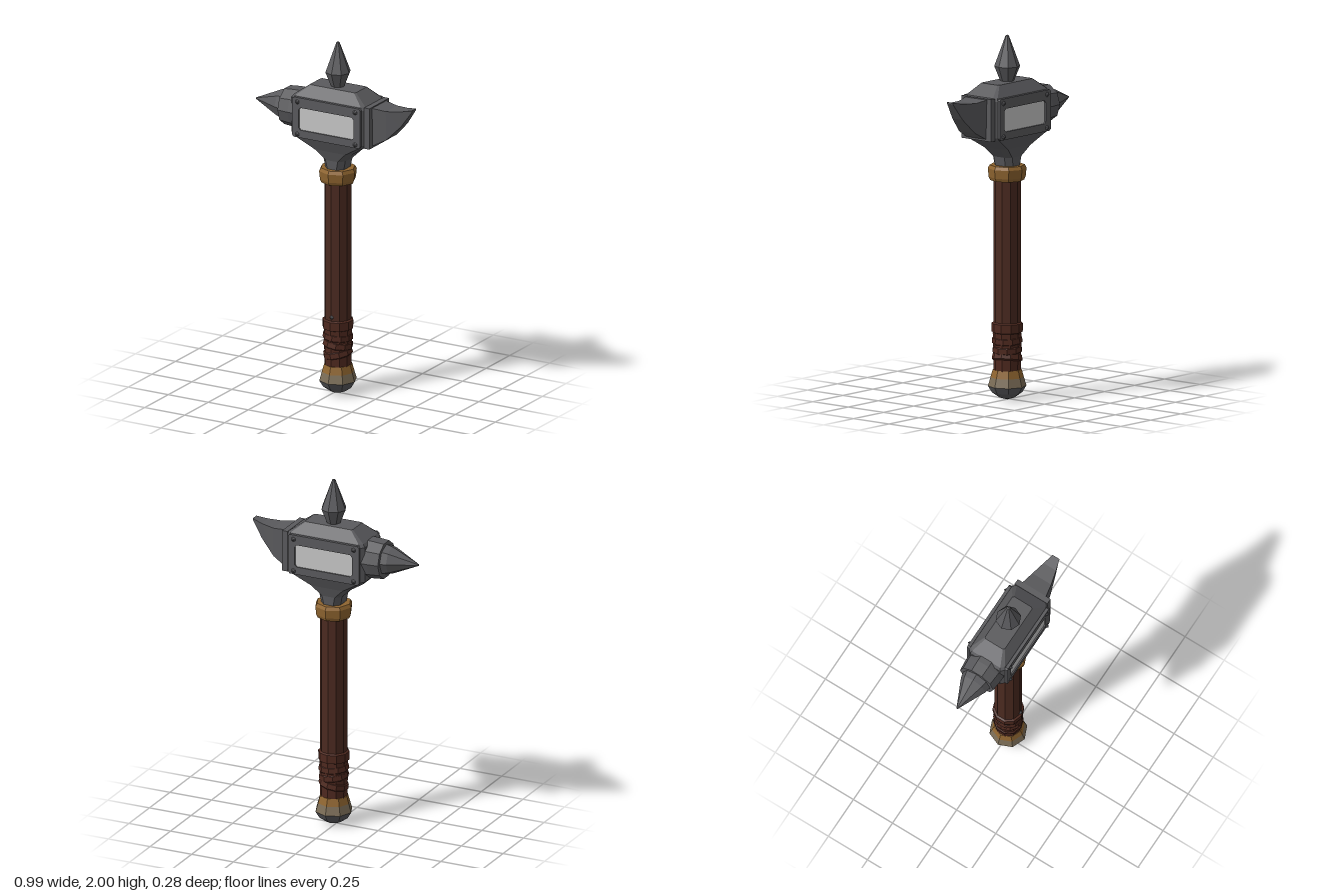
import * as THREE from 'three';

const mat = (name, color, side = THREE.FrontSide) => {
  const m = new THREE.MeshStandardMaterial({ color, flatShading: true, side });
  m.name = name;
  return m;
};

// Closed, flat-shaded skin through a list of equal-length rings of [x, y, z]
function loft(rings) {
  const n = rings[0].length, pos = [];
  const tri = (a, b, c) => pos.push(...a, ...b, ...c);
  for (let r = 0; r < rings.length - 1; r++) {
    const a = rings[r], b = rings[r + 1];
    for (let i = 0; i < n; i++) {
      const j = (i + 1) % n;
      tri(a[i], a[j], b[j]);
      tri(a[i], b[j], b[i]);
    }
  }
  const first = rings[0], last = rings[rings.length - 1];
  for (let i = 1; i < n - 1; i++) {
    tri(first[0], first[i + 1], first[i]);
    tri(last[0], last[i], last[i + 1]);
  }
  const g = new THREE.BufferGeometry();
  g.setAttribute('position', new THREE.Float32BufferAttribute(pos, 3));
  g.computeVertexNormals();
  return g;
}

// Rectangle with cut corners in the xz plane at height y
const cutRect = (y, x0, x1, z, c) => [
  [x0 + c, y, z], [x1 - c, y, z], [x1, y, z - c], [x1, y, c - z],
  [x1 - c, y, -z], [x0 + c, y, -z], [x0, y, c - z], [x0, y, z - c],
];

const lathe = (pts, sides) =>
  new THREE.LatheGeometry(pts.map(([r, y]) => new THREE.Vector2(r, y)), sides);

function roundRect(target, x0, y0, x1, y1, c) {
  target.moveTo(x0 + c, y0);
  target.lineTo(x1 - c, y0); target.lineTo(x1, y0 + c);
  target.lineTo(x1, y1 - c); target.lineTo(x1 - c, y1);
  target.lineTo(x0 + c, y1); target.lineTo(x0, y1 - c);
  target.lineTo(x0, y0 + c); target.closePath();
  return target;
}

export function createModel() {
  const steel = mat('dark steel', 0x5a5a5d);
  const silver = mat('pale silver', 0xc6c6c6);
  const wood = mat('dark wood', 0x4b2a20);
  const leather = mat('leather', 0x4f291f);
  const brass = mat('brass', 0x8f6530);
  const worn = mat('worn brass', 0x7a6c56);

  const model = new THREE.Group();
  model.name = 'warHammer';
  const AX = 0.016; // handle axis
  const add = (name, geo, material, x = 0, y = 0, z = 0, parent = model) => {
    const m = new THREE.Mesh(geo, material);
    m.name = name;
    m.position.set(x, y, z);
    parent.add(m);
    return m;
  };

  // Handle and pommel
  add('handle', lathe([[0.07, 0.15], [0.074, 0.4], [0.074, 1.22]], 10), wood, AX);
  add('pommel', lathe([[0.001, 0.005], [0.045, 0.018], [0.083, 0.045], [0.104, 0.08]], 8), steel, AX);
  add('pommelWornBand', lathe([[0.104, 0.08], [0.09, 0.128]], 8), worn, AX);
  add('pommelCup', lathe([[0.09, 0.128], [0.078, 0.17], [0.06, 0.172]], 8), brass, AX);

  // Leather grip: a cuff and loose tilted straps
  add('gripCuff', lathe([[0.07, 0.37], [0.084, 0.376], [0.085, 0.424], [0.07, 0.432]], 10), leather, AX);
  add('gripBase', lathe([[0.074, 0.165], [0.078, 0.37]], 10), leather, AX);
  const strap = lathe([[0.07, -0.022], [0.083, -0.012], [0.08, 0.016], [0.07, 0.022]], 10);
  [[0.235, 0.2, 0.1], [0.285, -0.22, 0.12], [0.33, 0.15, -0.15]].forEach(([y, tiltZ, tiltX], i) => {
    add('gripStrap' + i, strap, leather, AX, y, 0).rotation.set(tiltX, i, tiltZ);
  });
  add('gripStud', new THREE.OctahedronGeometry(0.014), steel, AX + 0.004, 0.452, 0.074);

  // Collar under the head
  add('headCollar', lathe([[0.07, 1.205], [0.092, 1.207], [0.1, 1.225], [0.105, 1.272],
    [0.095, 1.29], [0.06, 1.29]], 8), brass, AX);

  // Head block with flared neck and bevelled top
  const head = new THREE.Group();
  head.name = 'head';
  model.add(head);
  add('headBlock', loft([
    cutRect(1.28, -0.04, 0.072, 0.065, 0.03),
    cutRect(1.34, -0.052, 0.084, 0.068, 0.03),
    cutRect(1.395, -0.108, 0.14, 0.085, 0.03),
    cutRect(1.46, -0.205, 0.24, 0.113, 0.022),
    cutRect(1.475, -0.217, 0.25, 0.115, 0.02),
    cutRect(1.675, -0.217, 0.25, 0.115, 0.02),
    cutRect(1.692, -0.205, 0.24, 0.108, 0.018),
    cutRect(1.75, -0.125, 0.162, 0.063, 0.008),
  ]), steel, 0, 0, 0, head);

  // Framed side panels with corner rivets, front and back
  const frame = roundRect(new THREE.Shape(), -0.195, 1.462, 0.23, 1.688, 0.01);
  frame.holes.push(roundRect(new THREE.Path(), -0.155, 1.505, 0.188, 1.632, 0.012));
  const frameGeo = new THREE.ExtrudeGeometry(frame, { depth: 0.017, bevelEnabled: false });
  const panelGeo = new THREE.ShapeGeometry(roundRect(new THREE.Shape(), -0.156, 1.504, 0.189, 1.633, 0.012));
  const rivetGeo = new THREE.ConeGeometry(0.016, 0.016, 6).rotateX(Math.PI / 2);
  for (const s of [1, -1]) {
    const side = new THREE.Group();
    side.name = s > 0 ? 'frontPanel' : 'backPanel';
    // turn about the head's own middle so the back matches the front
    side.position.x = s > 0 ? 0 : 0.033;
    side.rotation.y = s > 0 ? 0 : Math.PI;
    head.add(side);
    add('panelFrame', frameGeo, steel, 0, 0, 0.111, side);
    add('panelInlay', panelGeo, silver, 0, 0, 0.12, side);
    for (const x of [-0.163, 0.198])
      for (const y of [1.48, 1.663]) add('rivet', rivetGeo, steel, x, y, 0.134, side);
  }

  // Beak plate and curved beak on the left
  add('beakPlate', new THREE.BoxGeometry(0.032, 0.232, 0.21), steel, 0.258, 1.576, 0, head);
  const beakRing = (x, lo, hi, zLo, zHi) =>
    [[x, hi, -zHi], [x, hi, zHi], [x, lo, zLo], [x, lo, -zLo]];
  add('beak', loft([
    beakRing(0.26, 1.463, 1.688, 0.072, 0.078),
    beakRing(0.35, 1.512, 1.676, 0.056, 0.06),
    beakRing(0.43, 1.595, 1.682, 0.036, 0.04),
    beakRing(0.492, 1.686, 1.694, 0.02, 0.022),
  ]), steel, 0, 0, 0, head);

  // Round collar and spike on the right
  add('sideCollar', lathe([[0.112, 0.2], [0.112, 0.235], [0.106, 0.3], [0.001, 0.301]], 10)
    .rotateZ(Math.PI / 2), steel, 0, 1.587, 0, head);
  add('sideSpike', lathe([[0.088, 0.29], [0.078, 0.335], [0.004, 0.495], [0.0005, 0.496]], 8)
    .rotateZ(Math.PI / 2).translate(0, 1.59, 0), steel, 0, 0, 0, head);

  // Top spike
  add('topSpike', lathe([[0.034, 1.74], [0.07, 1.83], [0.009, 1.996], [0.0005, 2]], 8), steel, AX, 0, 0, head);

  return model;
}
